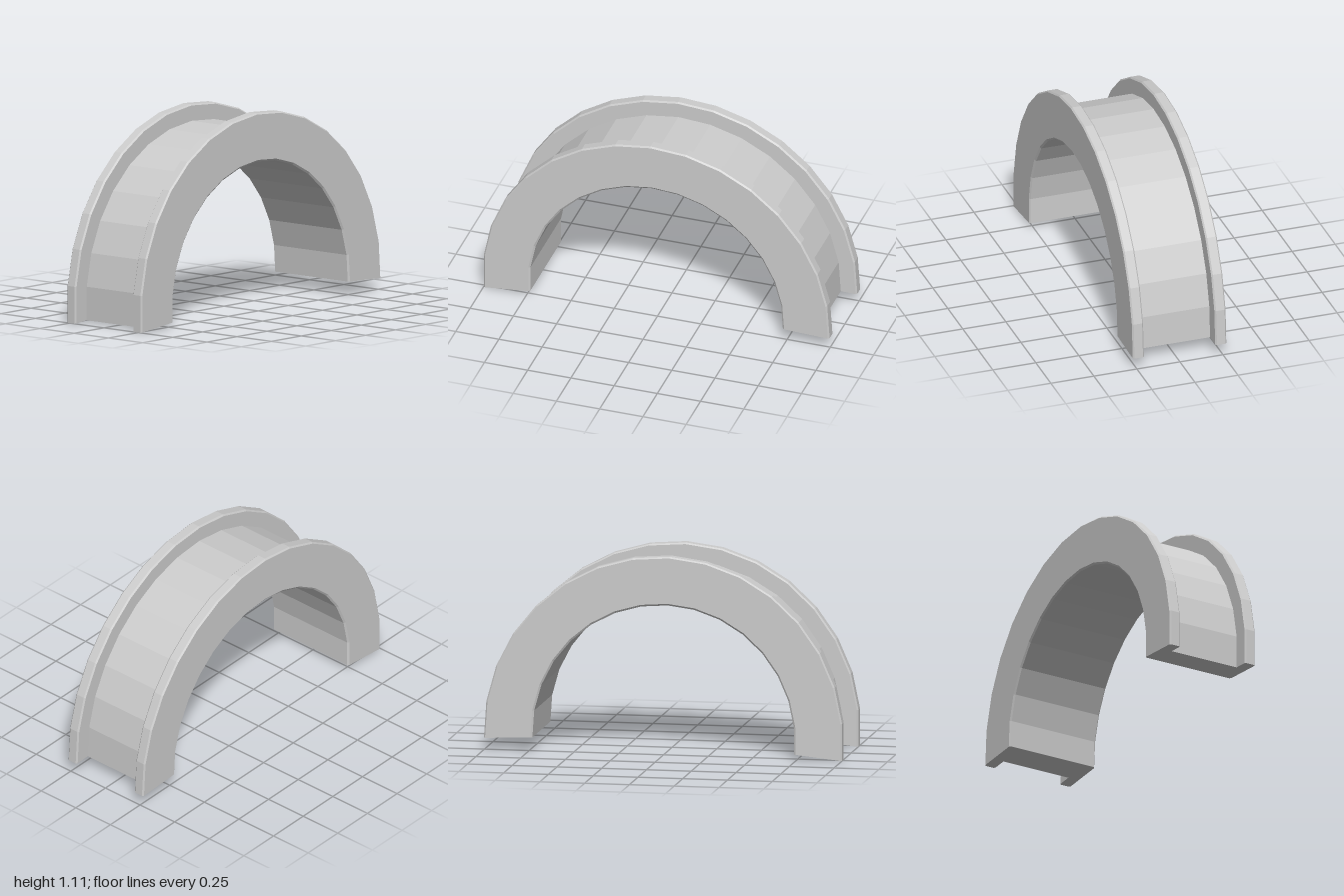
import * as THREE from 'three';

// Half ring with a flanged channel section, swept round the x axis
const SEGMENTS = 16;
const START = -0.1025;
const SWEEP = SEGMENTS * 2 * Math.abs(START);
const R_IN = 0.732, R_FLOOR = 0.91, R_OUT = 1.003;
const X_OUT = 0.272, X_IN = 0.207, BEVEL = 0.008;

// Section as (radius, width): one half, then its mirror image
function sectionPoints() {
  const half = [
    [R_FLOOR, X_IN],
    [R_OUT - BEVEL, X_IN],
    [R_OUT, X_IN + BEVEL],
    [R_OUT, X_OUT - BEVEL],
    [R_OUT - BEVEL, X_OUT],
    [R_IN + 0.01, X_OUT],
    [R_IN, X_OUT - BEVEL],
  ];
  const mirrored = half.map(([r, w]) => [r, -w]).reverse();
  return [...half, ...mirrored].map(([r, w]) => new THREE.Vector2(r, w));
}

export function createModel() {
  const group = new THREE.Group();
  group.name = 'flangedArch';
  const material = new THREE.MeshStandardMaterial({ color: 0xcccccc, flatShading: true });
  const points = sectionPoints();

  const add = (name, geometry) => {
    geometry.rotateZ(Math.PI / 2); // lay the sweep axis along x
    geometry.translate(0, R_OUT * Math.sin(-START), 0.002);
    const mesh = new THREE.Mesh(geometry, material);
    mesh.name = name;
    group.add(mesh);
  };

  // Swept channel with both flanges
  add('archChannel', new THREE.LatheGeometry([...points, points[0]], SEGMENTS, START, SWEEP));

  // Flat faces closing the two feet
  const shape = new THREE.Shape(points);
  add('frontFoot', new THREE.ShapeGeometry(shape).rotateY(START - Math.PI / 2));
  add('backFoot', new THREE.ShapeGeometry(shape).rotateX(Math.PI).rotateY(START + SWEEP - Math.PI / 2));

  return group;
}
